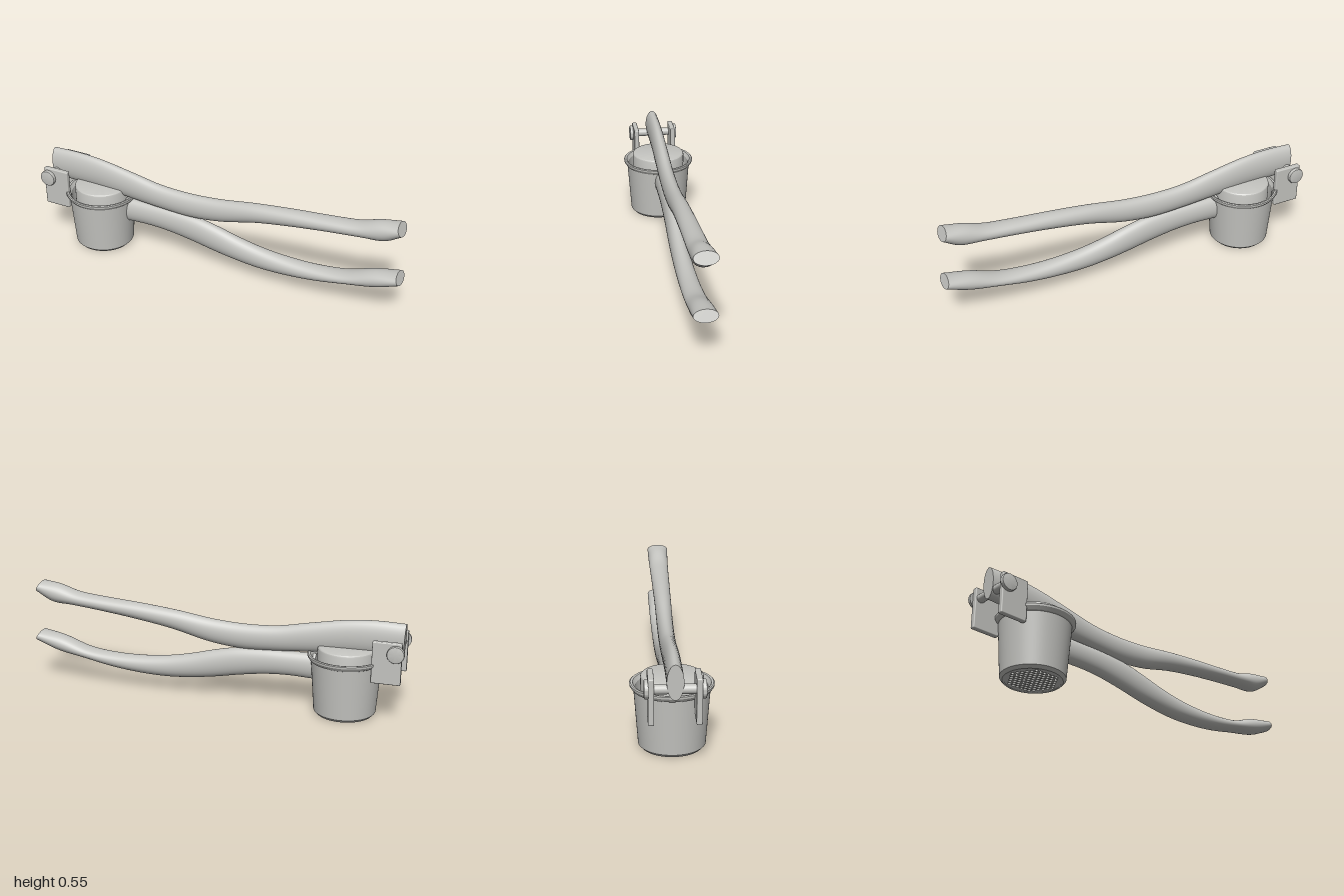
import * as THREE from 'three';
import { toCreasedNormals } from 'three/addons/utils/BufferGeometryUtils.js';
import { RoundedBoxGeometry } from 'three/addons/geometries/RoundedBoxGeometry.js';

const POT_X = -0.697, PIVOT_X = -0.956, PIVOT_Y = 0.375;

// Elliptical loft; each station is [topX, topY, bottomX, bottomY, halfWidth]
function loft(stations, steps = 72, sides = 32) {
  const tops = new THREE.CatmullRomCurve3(stations.map(s => new THREE.Vector3(s[0], s[1], 0)));
  const lows = new THREE.CatmullRomCurve3(stations.map(s => new THREE.Vector3(s[2], s[3], s[4])));
  const pos = [], idx = [];
  const ring = t => {
    const a = tops.getPoint(t), b = lows.getPoint(t);
    for (let j = 0; j < sides; j++) {
      const th = j / sides * Math.PI * 2, c = Math.cos(th) / 2;
      pos.push((a.x + b.x) / 2 + (a.x - b.x) * c, (a.y + b.y) / 2 + (a.y - b.y) * c, b.z * Math.sin(th));
    }
  };
  for (let i = 0; i <= steps; i++) ring(i / steps);
  for (let i = 0; i < steps; i++) {
    for (let j = 0; j < sides; j++) {
      const k = (j + 1) % sides, p = i * sides, q = p + sides;
      idx.push(p + j, p + k, q + j, p + k, q + k, q + j);
    }
  }
  // flat end caps on their own vertices
  for (const end of [0, 1]) {
    const base = pos.length / 3;
    ring(end);
    for (let j = 1; j < sides - 1; j++) {
      if (end) idx.push(base, base + j, base + j + 1);
      else idx.push(base, base + j + 1, base + j);
    }
  }
  const g = new THREE.BufferGeometry();
  g.setAttribute('position', new THREE.Float32BufferAttribute(pos, 3));
  g.setIndex(idx);
  g.computeVertexNormals();
  return g;
}

function lathe(points) {
  return toCreasedNormals(new THREE.LatheGeometry(points.map(p => new THREE.Vector2(...p)), 72), 0.45);
}

export function createModel() {
  const metal = new THREE.MeshStandardMaterial({ color: 0xc4c4c0 });
  metal.name = 'castMetal';
  const model = new THREE.Group();
  model.name = 'ricer';
  const add = (name, geometry, x = 0, y = 0, z = 0) => {
    const m = new THREE.Mesh(geometry, metal);
    m.name = name;
    m.position.set(x, y, z);
    model.add(m);
    return m;
  };

  // Handles
  add('upperHandle', loft([
    [-0.985, 0.495, -0.98, 0.33, 0.038],
    [-0.84, 0.498, -0.84, 0.325, 0.038],
    [-0.70, 0.488, -0.70, 0.32, 0.038],
    [-0.50, 0.453, -0.50, 0.303, 0.039],
    [-0.34, 0.423, -0.33, 0.29, 0.04],
    [-0.17, 0.415, -0.15, 0.284, 0.041],
    [0.00, 0.425, 0.02, 0.303, 0.042],
    [0.20, 0.453, 0.22, 0.352, 0.044],
    [0.40, 0.473, 0.41, 0.385, 0.047],
    [0.60, 0.488, 0.61, 0.412, 0.05],
    [0.75, 0.504, 0.78, 0.43, 0.053],
    [0.86, 0.537, 0.90, 0.441, 0.056],
    [0.957, 0.549, 0.985, 0.491, 0.058],
  ]));
  add('lowerHandle', loft([
    [-0.545, 0.295, -0.545, 0.16, 0.038],
    [-0.40, 0.294, -0.40, 0.165, 0.038],
    [-0.27, 0.293, -0.28, 0.158, 0.039],
    [-0.12, 0.282, -0.14, 0.137, 0.041],
    [0.00, 0.257, -0.02, 0.114, 0.043],
    [0.12, 0.225, 0.10, 0.096, 0.045],
    [0.25, 0.199, 0.24, 0.084, 0.046],
    [0.40, 0.184, 0.40, 0.088, 0.048],
    [0.55, 0.183, 0.56, 0.106, 0.05],
    [0.70, 0.199, 0.72, 0.138, 0.053],
    [0.85, 0.25, 0.88, 0.168, 0.056],
    [0.973, 0.271, 0.998, 0.216, 0.058],
  ]));

  // Hollow pot with flared rim
  add('pot', lathe([
    [0.135, 0.001], [0.143, 0], [0.157, 0.015], [0.1765, 0.28], [0.183, 0.283], [0.194, 0.299],
    [0.195, 0.309], [0.19, 0.313], [0.18, 0.311], [0.175, 0.302], [0.168, 0.292],
    [0.15, 0.014], [0.135, 0.014], [0.135, 0.001],
  ]), POT_X);

  // Perforated base, holes on a triangular grid
  const disc = new THREE.Shape().absarc(0, 0, 0.137, 0, Math.PI * 2);
  const pitch = 0.0235;
  for (let r = -6; r <= 6; r++) {
    for (let c = -6; c <= 6; c++) {
      const x = (c + (r & 1 ? 0.5 : 0)) * pitch, y = r * pitch * 0.866;
      if (Math.hypot(x, y) < 0.122) {
        disc.holes.push(new THREE.Path().absarc(x, y, 0.0088, 0, Math.PI * 2, true));
      }
    }
  }
  const sieve = new THREE.ExtrudeGeometry(disc, { depth: 0.01, bevelEnabled: false, curveSegments: 10 });
  sieve.rotateX(-Math.PI / 2);
  add('sieve', sieve, POT_X, 0.002);

  // Plunger with rounded top edge
  add('plunger', lathe([
    [0, 0.17], [0.145, 0.17], [0.145, 0.338], [0.143, 0.344], [0.139, 0.348], [0.133, 0.35], [0, 0.35],
  ]), POT_X);

  // Hinge: axle, side plates and pin heads
  const axle = new THREE.CylinderGeometry(0.022, 0.022, 0.2, 32).rotateX(Math.PI / 2);
  add('axle', axle, PIVOT_X, PIVOT_Y);
  for (const s of [1, -1]) {
    const side = s > 0 ? 'front' : 'back';
    add(side + 'HingePlate', new RoundedBoxGeometry(0.145, 0.214, 0.027, 3, 0.006), -0.912, 0.322, s * 0.1055);
    const head = lathe([[0, 0], [0.043, 0], [0.043, 0.014], [0.041, 0.018], [0.037, 0.019], [0, 0.019]]);
    head.rotateX(s * Math.PI / 2);
    add(side + 'PinHead', head, PIVOT_X, PIVOT_Y, s * 0.117);
  }
  return model;
}
